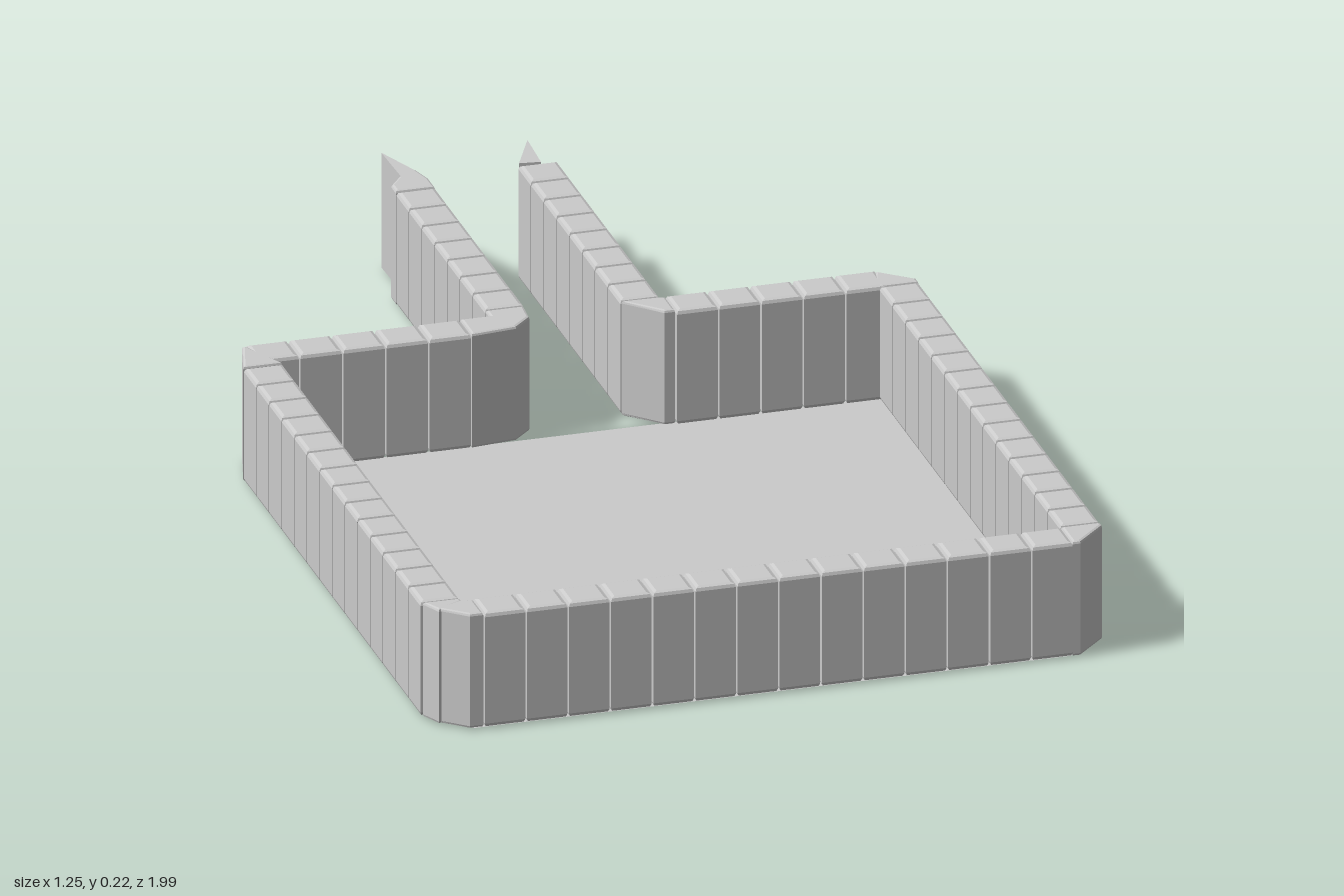
import * as THREE from 'three';

const HEIGHT = 0.221, BASE = 0.003, BEVEL = 0.008, WIDTH = 0.072;

export function createModel() {
  const group = new THREE.Group();
  group.name = 'walledYard';
  const material = new THREE.MeshStandardMaterial({ color: 0xcccccc, flatShading: true });
  const sheet = new THREE.MeshStandardMaterial({ color: 0xcccccc, side: THREE.DoubleSide });

  // upright block with bevelled edges from a plan outline of [x, z] corners
  function blockGeometry(outline, bevel = BEVEL) {
    const shape = new THREE.Shape(outline.map(([x, z]) => new THREE.Vector2(x, -z)));
    const g = new THREE.ExtrudeGeometry(shape, {
      depth: HEIGHT - 2 * bevel, bevelEnabled: bevel > 0, bevelThickness: bevel,
      bevelSize: bevel, bevelOffset: -bevel, bevelSegments: 2,
    });
    g.rotateX(-Math.PI / 2);
    g.translate(0, BASE + bevel, 0);
    return g;
  }

  function add(name, geometry, parent = group, mat = material) {
    const mesh = new THREE.Mesh(geometry, mat);
    mesh.name = name;
    parent.add(mesh);
    return mesh;
  }

  // straight run of equal blocks between two plan points
  function wallRun(name, [x0, z0], [x1, z1], count) {
    const run = new THREE.Group();
    run.name = name;
    const length = Math.hypot(x1 - x0, z1 - z0);
    const l = length / count / 2 - 0.0015, w = WIDTH / 2;
    const g = blockGeometry([[-l, -w], [l, -w], [l, w], [-l, w]]);
    for (let i = 0; i < count; i++) {
      const t = (i + 0.5) / count;
      const block = add('wallBlock', g, run);
      block.position.set(x0 + (x1 - x0) * t, 0, z0 + (z1 - z0) * t);
      block.rotation.y = -Math.atan2(z1 - z0, x1 - x0);
    }
    group.add(run);
  }

  wallRun('frontWall', [-0.535, 0.958], [0.552, 0.958], 14);
  wallRun('leftWall', [0.586, -0.185], [0.586, 0.92], 14);
  wallRun('rightWall', [-0.592, -0.165], [-0.592, 0.915], 14);
  wallRun('backRightWall', [-0.597, -0.225], [-0.2, -0.225], 5);
  wallRun('backLeftWall', [0.175, -0.219], [0.565, -0.219], 5);
  wallRun('passageRightWall', [-0.11, -0.286], [-0.11, -0.83], 7);
  wallRun('passageLeftWall', [0.13, -0.255], [0.13, -0.88], 8);

  // wedge blocks that turn the wall at its corners
  const wedges = {
    frontRightCornerA: [[-0.624, 0.915], [-0.556, 0.915], [-0.556, 0.93], [-0.606, 0.955]],
    frontRightCornerB: [[-0.61, 0.945], [-0.553, 0.922], [-0.535, 0.93], [-0.535, 0.99], [-0.56, 0.99]],
    frontLeftCorner: [[0.55, 0.922], [0.622, 0.922], [0.622, 0.935], [0.565, 0.993], [0.55, 0.993]],
    backLeftCorner: [[0.55, -0.185], [0.55, -0.215], [0.563, -0.25], [0.622, -0.2], [0.622, -0.185]],
    backRightCorner: [[-0.628, -0.168], [-0.604, -0.255], [-0.596, -0.255], [-0.556, -0.168]],
    rightGatePost: [[-0.2, -0.26], [-0.146, -0.26], [-0.146, -0.284], [-0.076, -0.284],
      [-0.08, -0.235], [-0.115, -0.2], [-0.2, -0.19]],
    leftGatePost: [[0.095, -0.253], [0.166, -0.253], [0.175, -0.25], [0.175, -0.19], [0.155, -0.19]],
    passageRightEnd: [[-0.146, -0.832], [-0.146, -0.86], [-0.105, -0.915], [-0.085, -0.915],
      [-0.074, -0.87], [-0.074, -0.832]],
  };
  for (const [name, outline] of Object.entries(wedges)) add(name, blockGeometry(outline, 0.005));

  // thin blades at the open ends of the passage
  add('passageRightBlade', blockGeometry([[-0.122, -1], [-0.119, -0.888], [-0.088, -0.91]], 0));
  add('passageLeftBlade', blockGeometry([[0.141, -0.979], [0.097, -0.885], [0.136, -0.88]], 0));

  // flat floor sheet with clipped corners
  const plan = [[-0.6, -0.206], [-0.612, -0.17], [-0.612, 0.92], [-0.55, 0.982], [0.55, 0.982],
    [0.61, 0.92], [0.61, -0.195], [0.6, -0.206]];
  const floor = new THREE.ShapeGeometry(new THREE.Shape(plan.map(([x, z]) => new THREE.Vector2(x, -z))));
  floor.rotateX(-Math.PI / 2);
  add('floor', floor, group, sheet);

  return group;
}
